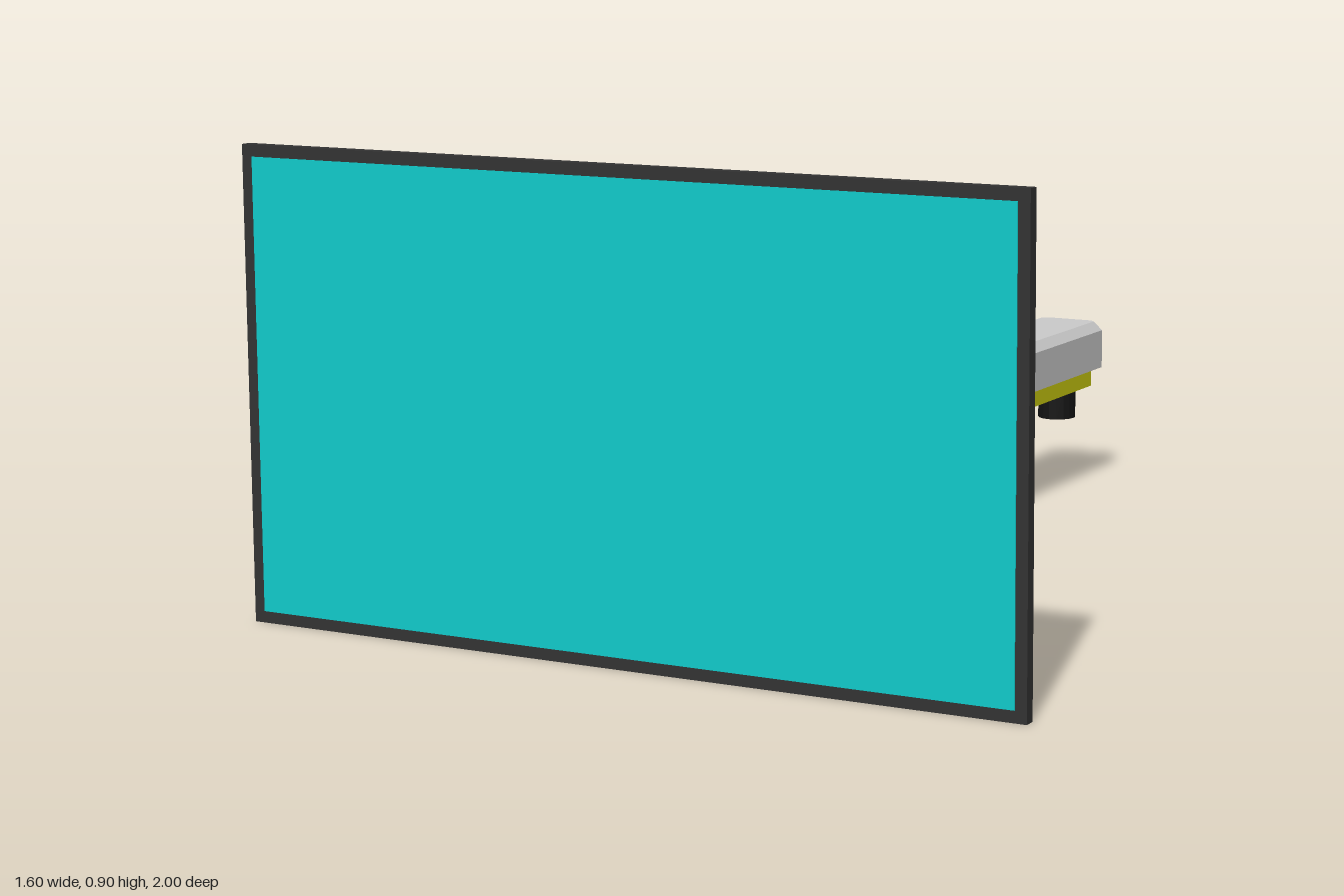
import * as THREE from 'three';

const paint = (color) => new THREE.MeshStandardMaterial({ color, flatShading: true });

// Solid through outlines stacked along +z; each ring is { z, pts } with pts counter-clockwise
function loft(rings) {
  const pos = [];
  const n = rings[0].pts.length;
  const put = (r, j) => pos.push(...rings[r].pts[j % n], rings[r].z);
  const last = rings.length - 1;
  for (let r = 0; r < last; r++) {
    for (let j = 0; j < n; j++) {
      put(r, j); put(r, j + 1); put(r + 1, j + 1);
      put(r, j); put(r + 1, j + 1); put(r + 1, j);
    }
  }
  for (let j = 1; j < n - 1; j++) {
    put(0, 0); put(0, j + 1); put(0, j);
    put(last, 0); put(last, j); put(last, j + 1);
  }
  const geo = new THREE.BufferGeometry();
  geo.setAttribute('position', new THREE.Float32BufferAttribute(pos, 3));
  geo.computeVertexNormals();
  return geo;
}

const rect = (w, h) => [[-w, -h], [w, -h], [w, h], [-w, h]];

// Rectangle with cut corners
const octagon = (w, h, c) => [
  [-w + c, -h], [w - c, -h], [w, -h + c], [w, h - c],
  [w - c, h], [-w + c, h], [-w, h - c], [-w, -h + c],
];

export function createModel() {
  const model = new THREE.Group();
  const grey = paint(0xcccccc);
  const dark = paint(0x333333);
  const black = paint(0x141414);
  const yellow = paint(0xcccc10);
  const teal = paint(0x10cccc);

  const add = (parent, name, geo, mat, x = 0, y = 0, z = 0) => {
    const mesh = new THREE.Mesh(geo, mat);
    mesh.name = name;
    mesh.position.set(x, y, z);
    parent.add(mesh);
    return mesh;
  };

  // Monitor: housing tapering backwards in two steps, with the screen in front
  const monitor = new THREE.Group();
  monitor.name = 'monitor';
  monitor.position.y = 0.4525;
  model.add(monitor);
  add(monitor, 'housing', loft([
    { z: 0.915, pts: rect(0.4, 0.19) },
    { z: 0.938, pts: rect(0.61, 0.265) },
    { z: 0.975, pts: rect(0.8, 0.4525) },
    { z: 0.998, pts: rect(0.8, 0.4525) },
  ]), dark);
  add(monitor, 'screen', new THREE.BoxGeometry(1.555, 0.86, 0.01), teal, 0, 0, 0.995);

  // Tilt hinge behind the monitor
  const hinge = new THREE.CylinderGeometry(0.041, 0.041, 0.136, 16).rotateZ(Math.PI / 2);
  add(model, 'tiltHinge', hinge, dark, 0, 0.49, 0.873);

  // Arm segment: bevelled cover over a yellow under-rail
  const coverGeo = loft([
    { z: 0, pts: octagon(0.082, 0.507, 0.02) },
    { z: 0.085, pts: octagon(0.082, 0.507, 0.02) },
    { z: 0.105, pts: octagon(0.065, 0.49, 0.012) },
  ]).rotateX(-Math.PI / 2);
  const railGeo = loft([
    { z: -0.042, pts: octagon(0.062, 0.487, 0.015) },
    { z: 0.002, pts: octagon(0.062, 0.487, 0.015) },
  ]).rotateX(-Math.PI / 2);

  const addArm = (name, y, z) => {
    const arm = new THREE.Group();
    arm.name = name;
    arm.position.set(0, y, z);
    add(arm, 'cover', coverGeo, grey);
    add(arm, 'underRail', railGeo, yellow);
    model.add(arm);
  };
  addArm('upperArm', 0.45, 0.323);
  addArm('lowerArm', 0.26, -0.493);

  // Pivots: between the arms, and at the mounting end
  const addPivot = (name, bottom, top, z) =>
    add(model, name, new THREE.CylinderGeometry(0.042, 0.042, top - bottom, 16),
      black, 0, (bottom + top) / 2, z);
  addPivot('elbowPivot', 0.36, 0.412, -0.1);
  addPivot('mountPivot', 0.15, 0.222, -0.915);

  return model;
}
